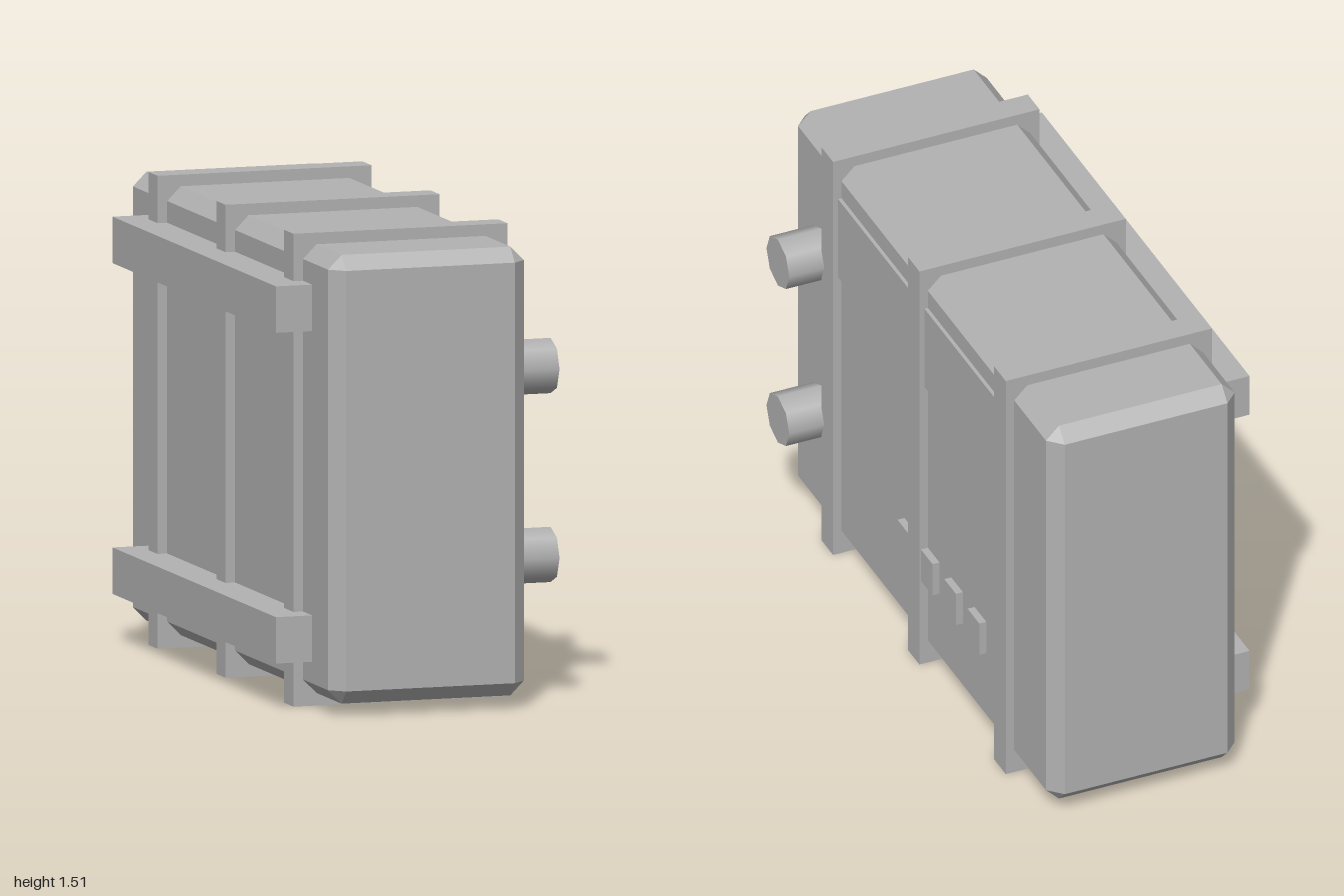
import * as THREE from 'three';
import { ConvexGeometry } from 'three/addons/geometries/ConvexGeometry.js';

const grey = new THREE.MeshStandardMaterial({ color: 0xb2b2b2 });
grey.name = 'plain grey';

// Box whose edges are all cut at 45 degrees
function chamferedBox(w, h, d, c) {
  const points = [];
  for (const sx of [-1, 1]) for (const sy of [-1, 1]) for (const sz of [-1, 1]) {
    const x = w / 2, y = h / 2, z = d / 2;
    points.push(
      new THREE.Vector3(sx * x, sy * (y - c), sz * (z - c)),
      new THREE.Vector3(sx * (x - c), sy * y, sz * (z - c)),
      new THREE.Vector3(sx * (x - c), sy * (y - c), sz * z));
  }
  return new ConvexGeometry(points);
}

export function createModel() {
  const model = new THREE.Group();
  model.name = 'bandedCase';

  const add = (name, geometry, x, y, z) => {
    const mesh = new THREE.Mesh(geometry, grey);
    mesh.name = name;
    mesh.position.set(x, y, z);
    model.add(mesh);
    return mesh;
  };
  // Box given by its limits on each axis
  const addBox = (name, [x0, x1], [y0, y1], [z0, z1]) =>
    add(name, new THREE.BoxGeometry(x1 - x0, y1 - y0, z1 - z0),
      (x0 + x1) / 2, (y0 + y1) / 2, (z0 + z1) / 2);

  // Main body
  add('body', chamferedBox(0.652, 1.43, 2, 0.045), -0.016, 0.755, 0);

  // Bands wrapped around the body
  for (const z of [-0.665, 0, 0.665])
    addBox('band', [-0.374, 0.339], [0, 1.507], [z - 0.045, z + 0.045]);

  // Raised panel between the outer bands
  addBox('sidePanel', [0.28, 0.322], [1.06, 1.36], [-0.64, 0.64]);

  // Row of small square buttons
  for (let i = 0; i < 4; i++) {
    const z = 0.09 - i * 0.18;
    addBox('button', [0.29, 0.334], [0.32, 0.44], [z - 0.045, z + 0.045]);
  }

  // Eight-sided knobs
  for (const y of [0.455, 1.057]) {
    const knob = add('knob', new THREE.CylinderGeometry(0.088, 0.088, 0.2, 8), 0.36, y, 0.776);
    knob.rotation.z = -Math.PI / 2;
  }

  // Long rails on the opposite side
  for (const y of [0.228, 1.282])
    addBox('rail', [-0.463, -0.32], [y - 0.074, y + 0.074], [-0.8, 0.8]);

  return model;
}
